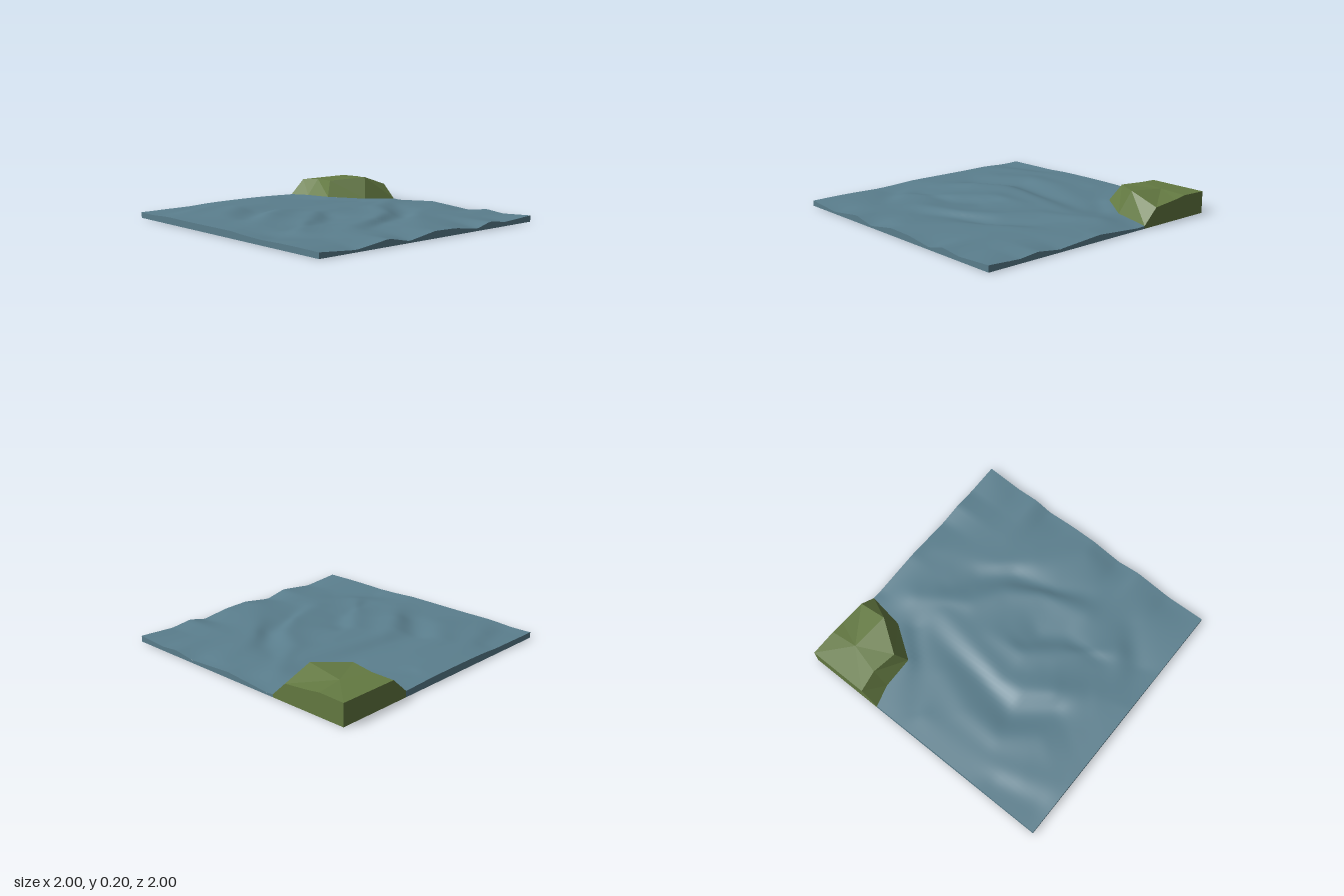
import * as THREE from 'three';

const material = (color, flatShading) =>
  new THREE.MeshStandardMaterial({ color, flatShading, side: THREE.DoubleSide });

function mesh(name, positions, indices, mat) {
  const g = new THREE.BufferGeometry();
  g.setAttribute('position', new THREE.Float32BufferAttribute(positions, 3));
  g.setIndex(indices);
  g.computeVertexNormals();
  const m = new THREE.Mesh(g, mat);
  m.name = name;
  return m;
}

// Wave lines as [x, z, height]
const crests = [
  [[-0.75, -0.3, 0.05], [-0.65, -0.45, 0.065], [-0.4, -0.64, 0.07], [-0.1, -0.63, 0.065], [0.2, -0.52, 0.055]],
  [[-0.7, 0.02, 0.06], [-0.5, -0.12, 0.085], [-0.3, -0.25, 0.08], [-0.15, -0.27, 0.07], [0.2, -0.2, 0.065], [0.5, -0.14, 0.06]],
  [[-0.65, 0.4, 0.055], [-0.3, 0.08, 0.07], [-0.15, -0.04, 0.075], [0.1, -0.06, 0.065]],
  [[-0.3, 0.5, 0.06], [0.02, 0.42, 0.07], [0.25, 0.26, 0.07], [0.4, 0.03, 0.07], [0.75, -0.18, 0.06]],
  [[0, 0.87, 0.055], [0.25, 0.6, 0.06], [0.45, 0.42, 0.055], [0.85, 0.2, 0.045]],
  [[-0.95, -0.6, 0.05], [-0.7, -0.73, 0.06], [-0.5, -0.79, 0.06], [0.1, -0.85, 0.06]],
];
const troughs = [
  [[-0.6, -0.25, 0.04], [-0.35, -0.45, 0.035], [0, -0.38, 0.035], [0.45, -0.33, 0.04]],
  [[-0.65, 0.28, 0.04], [-0.3, 0.26, 0.035], [-0.14, 0.14, 0.035], [-0.08, 0.04, 0.05]],
  [[-0.2, 0.62, 0.035], [0, 0.5, 0.03], [0.3, 0.4, 0.025], [0.5, 0.22, 0.03], [0.62, 0.05, 0.045]],
  [[-0.95, 0.1, 0.05], [-0.85, 0.4, 0.025], [-0.65, 0.62, 0.03]],
  [[-0.9, -0.85, 0.035], [-0.6, -0.92, 0.04]],
  [[0.2, -0.85, 0.05], [0.35, -0.6, 0.045], [0.6, -0.38, 0.03]],
];
const borders = [
  [[-1, 1, 0.04], [-0.7, 1, 0.015], [-0.42, 1, 0.05], [-0.24, 1, 0.012], [0, 1, 0.05], [0.2, 1, 0.045],
    [0.42, 1, 0.016], [0.55, 1, 0.05], [0.72, 1, 0.03], [1, 1, 0.045]],
  [[1, 1, 0.045], [1, 0.75, 0.03], [1, 0.6, 0.045], [1, 0.42, 0.02], [1, 0.05, 0.045], [1, -0.32, 0.015]],
  [[0.42, -1, 0.045], [0.47, -0.6, 0.06], [0.72, -0.43, 0.04], [1, -0.385, 0.02]],
];
const lines = [...crests, ...troughs, ...borders];

// Water height: blend of the wave lines by nearness
function waterHeight(x, z) {
  let sum = 0.045 * 8, total = 8;
  for (const line of lines) {
    let best = Infinity, height = 0;
    for (let i = 0; i + 1 < line.length; i++) {
      const [ax, az, ah] = line[i], [bx, bz, bh] = line[i + 1];
      const dx = bx - ax, dz = bz - az;
      const t = THREE.MathUtils.clamp(((x - ax) * dx + (z - az) * dz) / (dx * dx + dz * dz), 0, 1);
      const d = Math.hypot(x - ax - t * dx, z - az - t * dz);
      if (d < best) { best = d; height = ah + t * (bh - ah); }
    }
    const w = 1 / (best * best + 0.0008);
    sum += w * height;
    total += w;
  }
  return sum / total;
}

// Shoreline and upper edge of the island as [x, y, z]
const shore = [[0.42, 0.045, -1], [0.465, 0.05, -0.84], [0.47, 0.06, -0.6], [0.72, 0.04, -0.43], [1, 0.02, -0.385]];
const brow = [[0.545, 0.16, -1], [0.57, 0.175, -0.84], [0.54, 0.18, -0.655], [0.775, 0.205, -0.495], [1, 0.13, -0.5]];
const backRim = [[1, 0.15, -0.7], [1, 0.165, -0.8], [1, 0.16, -1]];

function underIsland(x, z) {
  const p = [...shore.map(v => [v[0], v[2]]), [1.1, -0.385], [1.1, -1.1], [0.42, -1.1]];
  let inside = false;
  for (let i = 0, j = p.length - 1; i < p.length; j = i++) {
    if ((p[i][1] > z) !== (p[j][1] > z) &&
      x < ((p[j][0] - p[i][0]) * (z - p[i][1])) / (p[j][1] - p[i][1]) + p[i][0]) inside = !inside;
  }
  return inside;
}

function waterSurface(mat) {
  const n = 64, pos = [], idx = [], hidden = [];
  for (let r = 0; r <= n; r++) {
    for (let c = 0; c <= n; c++) {
      const x = -1 + (2 * c) / n, z = -1 + (2 * r) / n;
      hidden.push(underIsland(x, z));
      pos.push(x, waterHeight(x, z), z);
    }
  }
  for (let r = 0; r < n; r++) {
    for (let c = 0; c < n; c++) {
      const a = r * (n + 1) + c, b = a + 1, d = a + n + 1, e = d + 1;
      for (const t of [[a, d, b], [b, d, e]]) if (!t.every(i => hidden[i])) idx.push(...t);
    }
  }
  return mesh('waterSurface', pos, idx, mat);
}

// Thin vertical wall from the water's edge down to the ground
function waterEdge(name, from, to, mat) {
  const n = 64, pos = [], idx = [];
  for (let i = 0; i <= n; i++) {
    const x = THREE.MathUtils.lerp(from[0], to[0], i / n), z = THREE.MathUtils.lerp(from[1], to[1], i / n);
    pos.push(x, 0, z, x, waterHeight(x, z), z);
    if (i < n) {
      const a = 2 * i;
      idx.push(a, a + 2, a + 1, a + 1, a + 2, a + 3);
    }
  }
  return mesh(name, pos, idx, mat);
}

function island(mat) {
  const group = new THREE.Group();
  group.name = 'island';

  // Sloping banks
  const bank = [], bankIdx = [];
  shore.forEach((s, i) => {
    bank.push(...s, ...brow[i]);
    const a = 2 * i;
    if (i + 1 < shore.length) bankIdx.push(a, a + 2, a + 1, a + 1, a + 2, a + 3);
  });
  group.add(mesh('islandBank', bank, bankIdx, mat));

  // Grassy top as a fan
  const rim = [...brow, ...backRim];
  const topIdx = rim.flatMap((_, i) => [0, 1 + i, 1 + ((i + 1) % rim.length)]);
  group.add(mesh('islandTop', [0.8, 0.178, -0.78, ...rim.flat()], topIdx, mat));

  // Upright cut sides along the tile's border
  const cut = [shore[4], brow[4], ...backRim, brow[0], shore[0]];
  const wall = [], wallIdx = [];
  cut.forEach(([x, y, z], i) => {
    wall.push(x, 0, z, x, y, z);
    const a = 2 * i;
    if (i + 1 < cut.length) wallIdx.push(a, a + 2, a + 1, a + 1, a + 2, a + 3);
  });
  group.add(mesh('islandCutSides', wall, wallIdx, mat));
  return group;
}

export function createModel() {
  const model = new THREE.Group();
  const water = material(0x5b7f8e, false);
  const grass = material(0x647a42, true);
  model.add(
    waterSurface(water),
    waterEdge('frontWaterEdge', [-1, 1], [1, 1], water),
    waterEdge('leftWaterEdge', [1, 1], [1, -0.385], water),
    waterEdge('backWaterEdge', [0.42, -1], [-1, -1], water),
    waterEdge('rightWaterEdge', [-1, -1], [-1, 1], water),
    island(grass),
  );
  return model;
}
